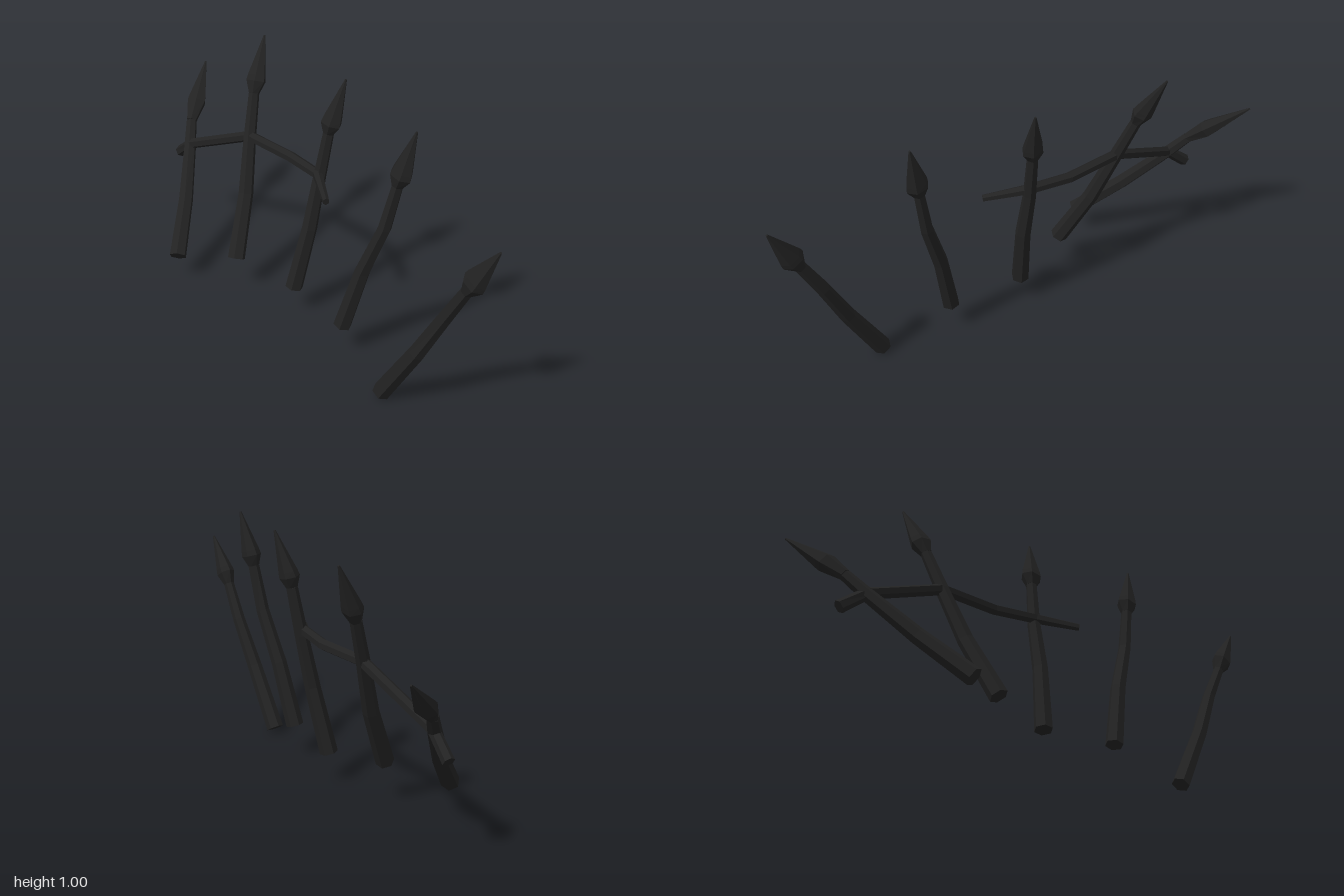
import * as THREE from 'three';

const iron = new THREE.MeshStandardMaterial({ color: 0x222222, flatShading: true });
iron.name = 'blackIron';

// Faceted sweep through rows of [x, y, z, radius along side, radius along depth]
function sweep(name, rows, side, sides = 6) {
  const pts = rows.map(r => new THREE.Vector3(r[0], r[1], r[2]));
  const pos = [], index = [], n = rows.length;
  rows.forEach((r, i) => {
    const t = pts[Math.min(i + 1, n - 1)].clone().sub(pts[Math.max(i - 1, 0)]).normalize();
    const u = side.clone().addScaledVector(t, -side.dot(t)).normalize();
    const v = t.clone().cross(u);
    for (let k = 0; k < sides; k++) {
      const a = k / sides * Math.PI * 2;
      const p = pts[i].clone().addScaledVector(u, Math.cos(a) * r[3]).addScaledVector(v, Math.sin(a) * r[4]);
      pos.push(p.x, p.y, p.z);
    }
  });
  for (let i = 0; i < n - 1; i++) {
    for (let k = 0; k < sides; k++) {
      const a = i * sides + k, b = i * sides + (k + 1) % sides;
      index.push(a, b, b + sides, a, b + sides, a + sides);
    }
  }
  // End caps
  const e = (n - 1) * sides;
  for (let k = 1; k < sides - 1; k++) index.push(0, k + 1, k, e, e + k, e + k + 1);
  const indexed = new THREE.BufferGeometry();
  indexed.setAttribute('position', new THREE.Float32BufferAttribute(pos, 3));
  indexed.setIndex(index);
  const geo = indexed.toNonIndexed();
  geo.computeVertexNormals();
  const mesh = new THREE.Mesh(geo, iron);
  mesh.name = name;
  return mesh;
}

// Each post: base, two bends, neck, head shoulder, tip
const posts = [
  [[-0.55, 0.12, 0.25], [-0.675, 0.28, 0.10], [-0.80, 0.44, -0.03], [-0.86, 0.52, -0.09], [-0.90, 0.575, -0.15], [-0.995, 0.695, -0.285]],
  [[-0.33, 0.155, 0.115], [-0.395, 0.39, 0.0], [-0.45, 0.60, -0.075], [-0.488, 0.765, -0.135], [-0.498, 0.81, -0.155], [-0.533, 0.975, -0.237]],
  [[-0.055, 0.12, 0.045], [-0.022, 0.39, -0.01], [-0.015, 0.60, -0.055], [0.0, 0.785, -0.087], [0.005, 0.825, -0.094], [0.035, 1.0, -0.14]],
  [[0.268, 0.13, 0.09], [0.333, 0.39, 0.055], [0.41, 0.60, 0.025], [0.447, 0.78, 0.007], [0.456, 0.822, 0.002], [0.497, 0.998, -0.024]],
  [[0.553, 0.018, 0.165], [0.70, 0.27, 0.15], [0.80, 0.465, 0.13], [0.88, 0.61, 0.127], [0.905, 0.655, 0.125], [0.993, 0.81, 0.115]],
];
const shaftRadius = [0.036, 0.031, 0.026, 0.022];

export function createModel() {
  const model = new THREE.Group();
  model.name = 'brokenFence';
  const x = new THREE.Vector3(1, 0, 0), y = new THREE.Vector3(0, 1, 0);

  // Bent posts with spear heads
  posts.forEach((p, i) => {
    const post = new THREE.Group();
    post.name = 'post' + (i + 1);
    post.add(sweep('shaft', p.slice(0, 4).map((q, k) => [...q, shaftRadius[k], shaftRadius[k]]), x));
    const [neck, shoulder, tip] = p.slice(3);
    const upper = shoulder.map((c, k) => c + (tip[k] - c) * 0.12);
    post.add(sweep('spearHead', [
      [...neck, 0.022, 0.022],
      [...shoulder, 0.046, 0.037],
      [...upper, 0.043, 0.034],
      [...tip, 0.004, 0.004],
    ], x));
    model.add(post);
  });

  // Remaining crossbar, snapped off at both ends
  model.add(sweep('crossbar', [
    [-0.90, 0.37, -0.05, 0.025, 0.022],
    [-0.80, 0.45, -0.037, 0.022, 0.022],
    [-0.45, 0.605, -0.077, 0.022, 0.022],
    [-0.20, 0.607, -0.077, 0.022, 0.022],
    [-0.015, 0.618, -0.045, 0.021, 0.021],
    [0.13, 0.595, 0.048, 0.015, 0.013],
  ], y));
  return model;
}
